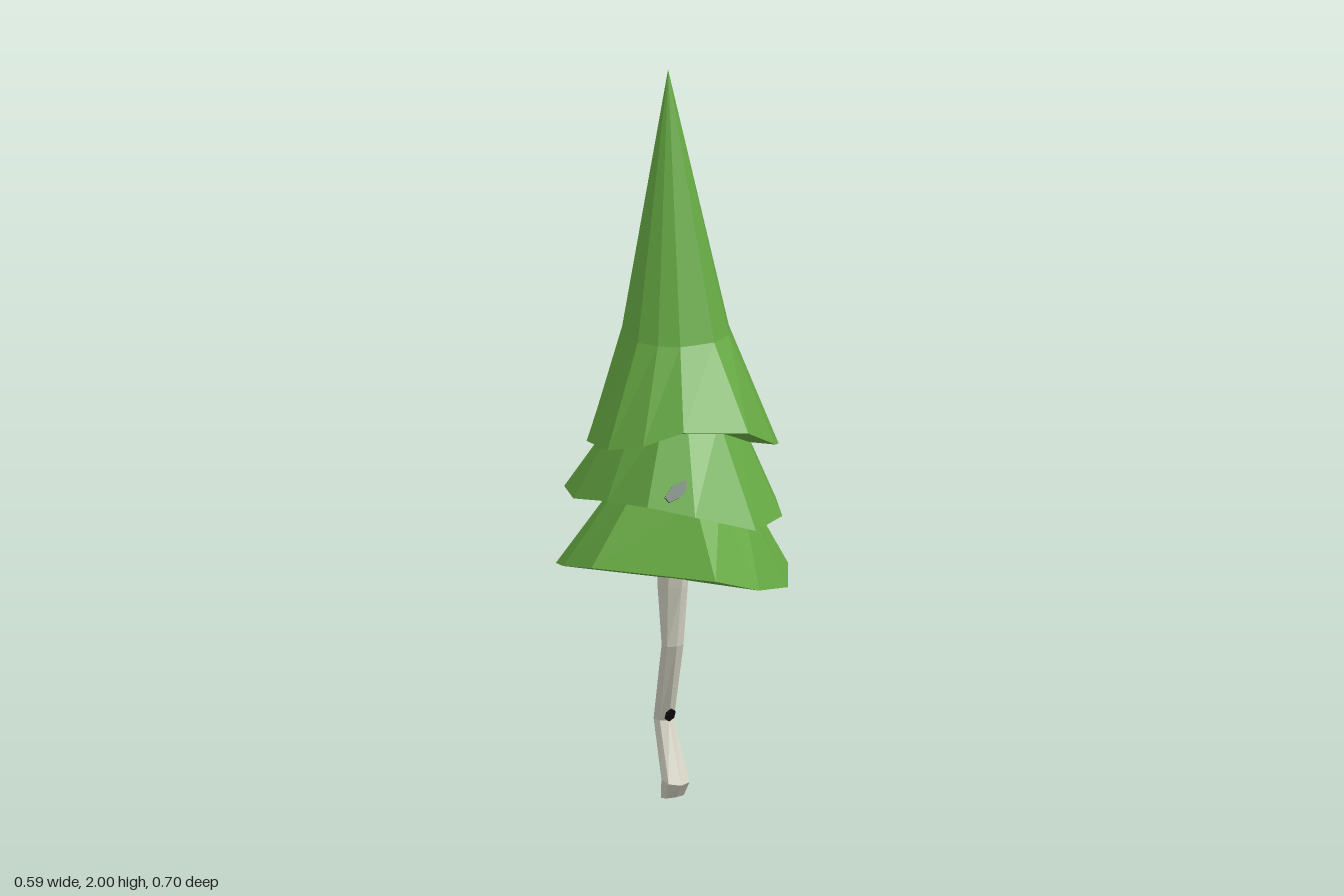
import * as THREE from 'three';

const mat = (name, color) => Object.assign(new THREE.MeshStandardMaterial({ color, flatShading: true }), { name });

// Skin a stack of rings (lists of [x, y, z], bottom to top) with flat facets
function loft(rings) {
  const pos = [];
  const tri = (...p) => p.forEach(v => pos.push(...v));
  for (let r = 0; r + 1 < rings.length; r++) {
    const lo = rings[r], hi = rings[r + 1], n = lo.length;
    for (let i = 0; i < n; i++) {
      const j = (i + 1) % n;
      if (hi[i] !== hi[j]) tri(lo[j], hi[i], hi[j]);
      if (lo[i] !== lo[j]) tri(lo[i], hi[i], lo[j]);
    }
  }
  const g = new THREE.BufferGeometry();
  g.setAttribute('position', new THREE.Float32BufferAttribute(pos, 3));
  g.computeVertexNormals();
  return g;
}

const point = (p, n) => Array(n).fill(p);

// Small ring whose corners follow the directions of the rim corners
const innerRing = (rim, [cx, y, cz], radius) => rim.map(([x, , z]) => {
  const l = Math.hypot(x - cx, z - cz);
  return [cx + (x - cx) / l * radius, y, cz + (z - cz) / l * radius];
});

export function createModel() {
  const group = new THREE.Group();
  const green = mat('needle green', 0x66a943);
  const bark = mat('pale bark', 0xcfcdbe);
  const dark = mat('dark green', 0x264a2c);
  const black = mat('knot black', 0x0c0c0c);
  const add = (name, geometry, material) => {
    const m = new THREE.Mesh(geometry, material);
    m.name = name;
    group.add(m);
    return m;
  };

  // Foliage tiers: uneven rim, inner ring (centre, radius), apex and underside centre
  const tiers = [
    { name: 'topTier', under: [0, 1.0, -0.02], ring: [[0, 1.29, -0.016], 0.145], apex: [0, 2, -0.05],
      rim: [[-0.05, 0.94, -0.29], [0.105, 0.93, -0.305], [0.24, 0.95, -0.23], [0.295, 0.965, -0.08],
        [0.265, 0.95, 0.08], [0.16, 1.0, 0.205], [0.03, 1.07, 0.257], [-0.14, 1.09, 0.2],
        [-0.22, 1.05, 0.13], [-0.257, 1.02, 0.025], [-0.215, 1.0, -0.12], [-0.15, 0.97, -0.2]] },
    { name: 'middleTier', under: [0, 0.815, 0], ring: [[0, 1.08, 0], 0.15], apex: [0, 1.2, 0],
      rim: [[-0.195, 0.84, -0.243], [-0.09, 0.83, -0.255], [0.05, 0.82, -0.288], [0.2, 0.825, -0.2],
        [0.28, 0.82, -0.06], [0.265, 0.795, 0.07], [0.17, 0.805, 0.22], [0.03, 0.81, 0.29],
        [-0.14, 0.87, 0.25], [-0.225, 0.89, 0.155], [-0.24, 0.87, 0], [-0.24, 0.84, -0.145]] },
    { name: 'bottomTier', under: [0, 0.607, 0], ring: [[0, 0.87, 0], 0.165], apex: [0, 1.0, 0],
      rim: [[-0.208, 0.625, -0.262], [-0.07, 0.607, -0.322], [0.09, 0.62, -0.35], [0.17, 0.64, -0.27],
        [0.24, 0.65, -0.22], [0.292, 0.655, -0.08], [0.285, 0.62, 0.095], [0.185, 0.607, 0.225],
        [0.01, 0.66, 0.33], [-0.147, 0.72, 0.348], [-0.298, 0.7, 0.01], [-0.273, 0.66, -0.145]] },
  ];
  for (const { name, under, ring, apex, rim } of tiers) {
    const n = rim.length;
    add(name, loft([point(under, n), rim, innerRing(rim, ...ring), point(apex, n)]), green);
  }

  // Crooked trunk: x, y, z, half width, half depth, slope of the ring
  const sides = 7;
  const trunk = [
    [-0.006, 0.005, -0.022, 0.035, 0.024, 0.15],
    [-0.017, 0.06, 0.005, 0.039, 0.036, -0.2],
    [0.008, 0.203, -0.08, 0.025, 0.031, 0],
    [-0.025, 0.435, 0.003, 0.031, 0.027, 0],
    [-0.02, 0.6, -0.008, 0.033, 0.054, 0],
    [-0.015, 0.66, -0.008, 0.033, 0.054, 0],
  ].map(([x, y, z, rx, rz, slope]) => Array.from({ length: sides }, (_, i) => {
    const a = i / sides * Math.PI * 2, dz = Math.sin(a) * rz;
    return [x + Math.cos(a) * rx, y + dz * slope, z + dz];
  }));
  const base = point([-0.006, 0.005, -0.022], sides);
  add('trunk', loft([base, ...trunk]), bark);

  // Thin dark marks lying on the foliage and the trunk
  const mark = (name, material, p, normal, w, h, turn) => {
    const m = add(name, new THREE.CylinderGeometry(1, 1, 0.006, 6).rotateX(Math.PI / 2), material);
    m.scale.set(w / 2, h / 2, 1);
    m.position.set(...p);
    m.lookAt(p[0] + normal[0], p[1] + normal[1], p[2] + normal[2]);
    m.rotateZ(turn);
  };
  mark('frontMark', dark, [-0.156, 0.93, 0.192], [-0.3, 0.5, 0.8], 0.085, 0.036, 0.6);
  mark('sideMark', dark, [0.217, 0.9, -0.135], [0.88, 0.42, -0.2], 0.028, 0.11, 0);
  mark('trunkKnot', black, [0.0, 0.222, -0.041], [0, -0.33, 0.94], 0.032, 0.038, 0);

  return group;
}
